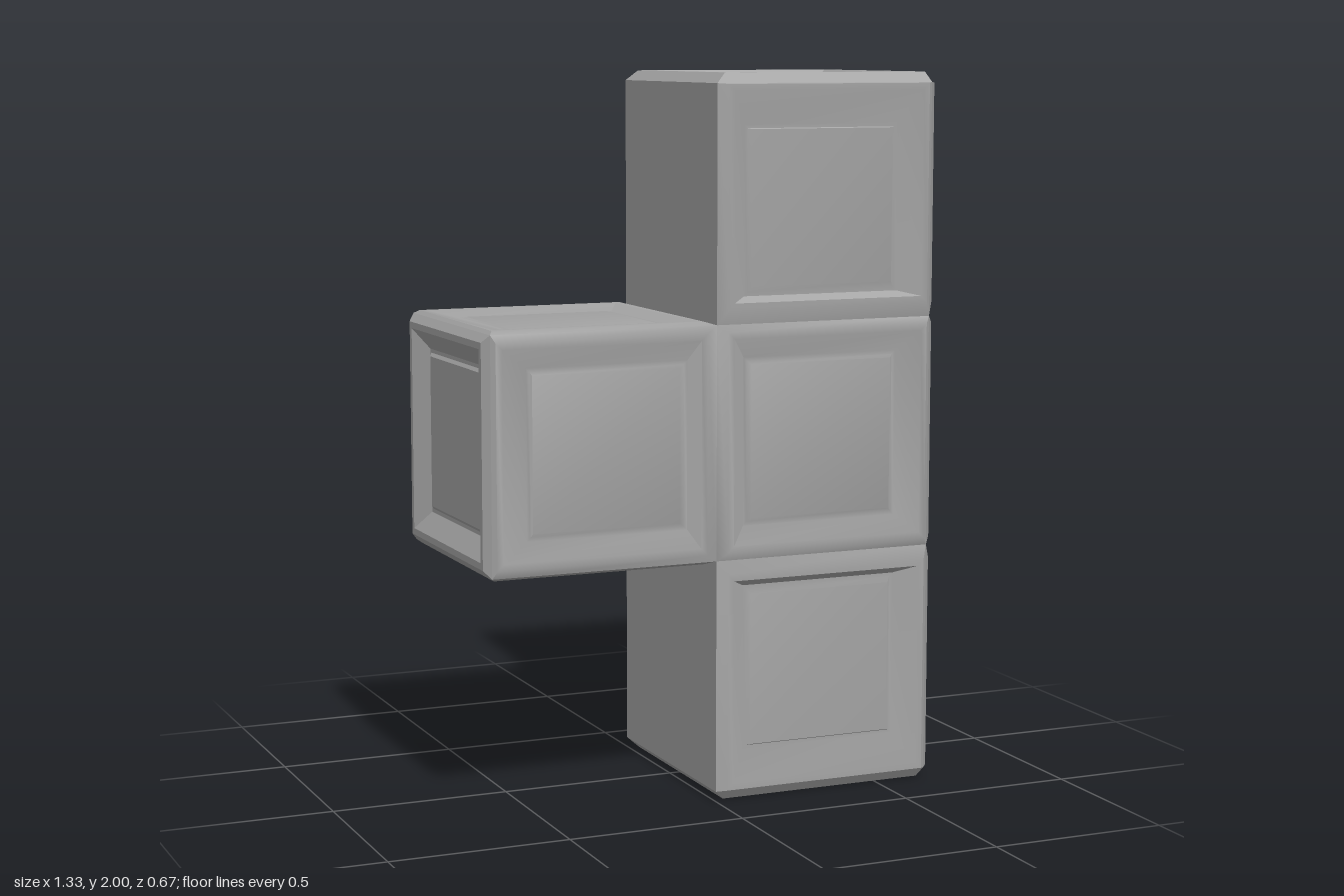
import * as THREE from 'three';
import { toCreasedNormals } from 'three/addons/utils/BufferGeometryUtils.js';

const CELL = 2 / 3, HALF = CELL / 2;
const CENTRE = new THREE.Vector3(0, 1, 0);

// Square rings of each cube face: [half size, scale about the block's centre]
const RINGS = [
  [HALF, 0.972],   // groove along the cube edges
  [0.303, 1],      // outer edge of the raised rim
  [0.285, 1],      // inner edge of the rim
  [0.245, 0.945],  // foot of the slope
  [0.234, 0.945],  // foot of the panel
  [0.222, 0.955],  // top of the panel
];

const AXES = [
  new THREE.Vector3(1, 0, 0),
  new THREE.Vector3(0, 1, 0),
  new THREE.Vector3(0, 0, 1),
];

// Lofts the rings of one cube face; u x v = normal keeps it facing outwards
function panelledFace(cell, normal, u, v) {
  const signs = [[-1, -1], [1, -1], [1, 1], [-1, 1]];
  const rings = RINGS.map(([half, scale]) => signs.map(([a, b]) => cell.clone().sub(CENTRE)
    .addScaledVector(normal, HALF)
    .addScaledVector(u, a * half)
    .addScaledVector(v, b * half)
    .multiplyScalar(scale)
    .add(CENTRE)));

  const points = [];
  const quad = (a, b, c, d) => points.push(a, b, c, a, c, d);
  for (let r = 0; r < rings.length - 1; r++) {
    for (let i = 0; i < 4; i++) {
      const j = (i + 1) % 4;
      quad(rings[r][i], rings[r][j], rings[r + 1][j], rings[r + 1][i]);
    }
  }
  quad(...rings[rings.length - 1]);
  return toCreasedNormals(new THREE.BufferGeometry().setFromPoints(points), Math.PI / 6);
}

export function createModel() {
  const grey = new THREE.MeshStandardMaterial({ color: 0xa3a3a3 });
  grey.name = 'grey';
  const group = new THREE.Group();
  group.name = 'steppedBlock';

  const cells = [[HALF, HALF], [HALF, 1], [HALF, 2 - HALF], [-HALF, 1]]
    .map(([x, y]) => new THREE.Vector3(x, y, 0));
  const names = ['lowerCube', 'middleCube', 'upperCube', 'sideCube'];

  cells.forEach((cell, index) => {
    const cube = new THREE.Group();
    cube.name = names[index];
    group.add(cube);

    for (let k = 0; k < 3; k++) {
      for (const sign of [1, -1]) {
        const normal = AXES[k].clone().multiplyScalar(sign);
        const next = cell.clone().addScaledVector(normal, CELL);
        // Faces where two cubes meet are left out
        if (cells.some((c) => c.distanceTo(next) < 0.01)) continue;

        const u = AXES[(k + 1) % 3], v = AXES[(k + 2) % 3];
        const geometry = sign > 0 ? panelledFace(cell, normal, u, v) : panelledFace(cell, normal, v, u);
        const face = new THREE.Mesh(geometry, grey);
        face.name = 'panelledFace';
        cube.add(face);
      }
    }
  });
  return group;
}
